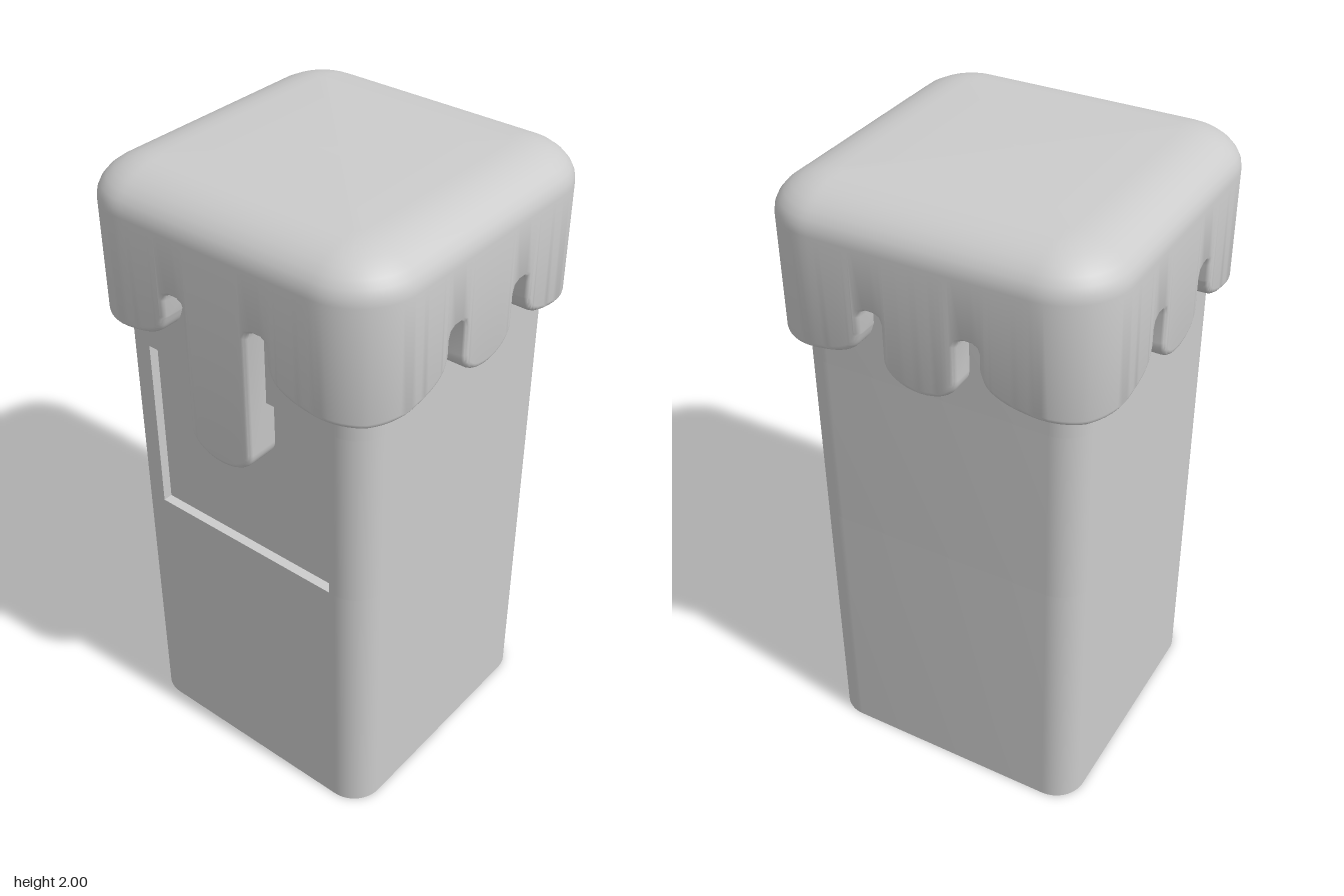
import * as THREE from 'three';
import { toCreasedNormals } from 'three/addons/utils/BufferGeometryUtils.js';

const HALF = 0.52, FLAT = 0.33, R = HALF - FLAT;   // cap outline
const T_END = FLAT + R * Math.PI / 4;              // arc length from face centre to corner
const material = new THREE.MeshStandardMaterial({ color: 0xcccccc });

// Point on the rounded square: t along face f, inset by d
function outline(t, d, y, f) {
  const u = Math.abs(t), a = Math.max(0, u - FLAT) / R;
  let x = Math.sign(t) * (Math.min(u, FLAT) + (R - d) * Math.sin(a));
  let z = FLAT + (R - d) * Math.cos(a);
  for (let i = 0; i < f; i++) [x, z] = [z, -x];
  return [x, y, z];
}

// Lower edge of one cap side: drip, notch, then sweep down to the corner
function hem(dripBottom) {
  const half = [];
  for (let i = 0; i <= 8; i++) {
    const a = i / 8 * Math.PI / 2;
    half.push([0.115 * Math.sin(a), dripBottom + 0.08 * (1 - Math.cos(a))]);
  }
  half.push([0.115, 1.685], [0.121, 1.703], [0.135, 1.71], [0.162, 1.71], [0.175, 1.703], [0.181, 1.685]);
  const sweep = new THREE.SplineCurve([[0.181, 1.635], [0.205, 1.585], [0.27, 1.553], [0.38, 1.537], [T_END, 1.528]]
    .map(p => new THREE.Vector2(...p)));
  sweep.getPoints(24).forEach(p => half.push([p.x, p.y]));
  const left = half.slice(1).reverse().map(([t, y]) => [-t, y]);
  const pts = [...left, ...half];
  // Each point carries the direction into the material
  return pts.map(([t, y], i) => {
    if (i === 0 || i === pts.length - 1) return { t, y, nt: 0, ny: 1 };
    const dt = pts[i + 1][0] - pts[i - 1][0], dy = pts[i + 1][1] - pts[i - 1][1];
    const len = Math.hypot(dt, dy);
    return { t, y, nt: -dy / len, ny: dt / len };
  });
}

function capGeometry() {
  const bevel = 0.018, columns = [];
  [1.225, 1.515, 1.5, 1.515].forEach((bottom, f) => {
    hem(bottom).slice(0, -1).forEach(p => {
      const t = p.t + p.nt * bevel;
      const col = [[0, 2, 0]];
      // Domed top
      for (let i = 8; i >= 0; i--) {
        const a = i / 8 * Math.PI / 2;
        col.push(outline(t, 0.18 * (1 - Math.cos(a)), 1.89 + 0.11 * Math.sin(a), f));
      }
      // Rounded hem
      for (let i = 0; i <= 4; i++) {
        const a = i / 4 * Math.PI / 2, o = bevel * (1 - Math.sin(a));
        col.push(outline(p.t + p.nt * o, bevel * (1 - Math.cos(a)), p.y + p.ny * o, f));
      }
      // Underside running in to the post
      col.push(outline(p.t, 0.11, p.y, f));
      columns.push(col);
    });
  });
  const rows = columns[0].length, index = [];
  columns.forEach((_, j) => {
    const k = (j + 1) % columns.length;
    for (let i = 0; i < rows - 1; i++) {
      const a = j * rows + i, d = k * rows + i;
      if (i > 0) index.push(a, a + 1, d + 1, a, d + 1, d);
      else index.push(a, a + 1, d + 1);
    }
  });
  const geo = new THREE.BufferGeometry();
  geo.setAttribute('position', new THREE.Float32BufferAttribute(columns.flat(2), 3));
  geo.setIndex(index);
  return toCreasedNormals(geo, 0.7);
}

// Slice of the post between two heights, with an optional cut in its front
function postSlice(name, y0, y1, cut) {
  const h = 0.45, r = 0.1, s = new THREE.Shape();
  s.moveTo(-h + r, -h);
  if (cut) {
    s.lineTo(-0.33, -h);
    s.lineTo(-0.33, -h + cut);
    s.lineTo(0.33, -h + cut);
    s.lineTo(0.33, -h);
  }
  s.lineTo(h - r, -h);
  s.absarc(h - r, -h + r, r, -Math.PI / 2, 0);
  s.absarc(h - r, h - r, r, 0, Math.PI / 2);
  s.absarc(-h + r, h - r, r, Math.PI / 2, Math.PI);
  s.absarc(-h + r, -h + r, r, Math.PI, Math.PI * 1.5);
  const geo = new THREE.ExtrudeGeometry(s, { depth: y1 - y0, bevelEnabled: false, curveSegments: 8 });
  geo.rotateX(-Math.PI / 2).translate(0, y0, 0);
  const mesh = new THREE.Mesh(toCreasedNormals(geo, 0.6), material);
  mesh.name = name;
  return mesh;
}

export function createModel() {
  const model = new THREE.Group();
  model.name = 'snowCappedPost';
  const post = new THREE.Group();
  post.name = 'post';
  post.add(
    postSlice('postBase', 0, 0.88, 0),
    postSlice('recessedPanel', 0.88, 1.45, 0.03),
    postSlice('postTop', 1.45, 1.8, 0)
  );
  const cap = new THREE.Mesh(capGeometry(), material);
  cap.name = 'drippingCap';
  model.add(post, cap);
  return model;
}
